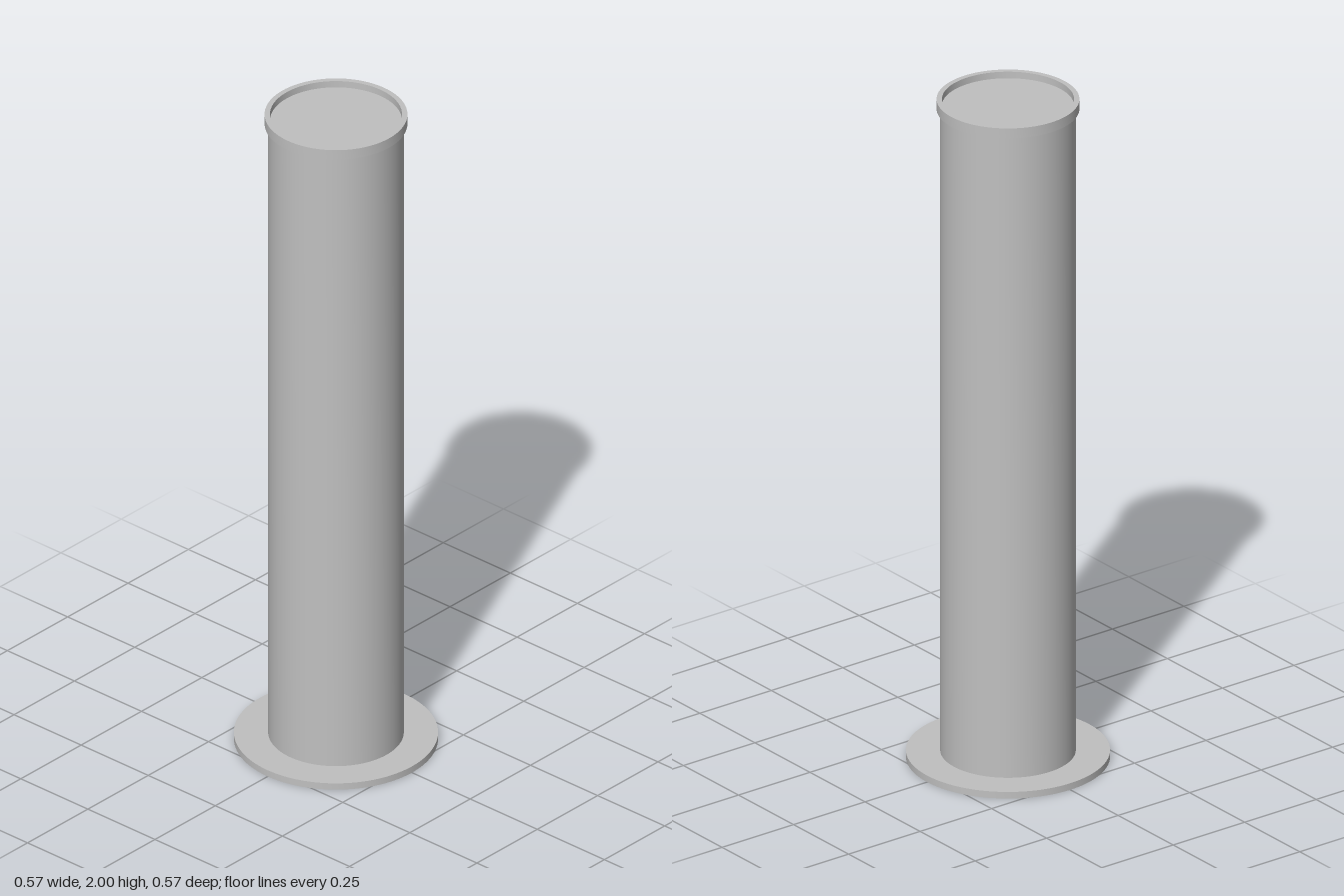
import * as THREE from 'three';
import { toCreasedNormals } from 'three/addons/utils/BufferGeometryUtils.js';

const SEGMENTS = 96;

export function createModel() {
  const group = new THREE.Group();
  group.name = 'flangedTube';
  const grey = new THREE.MeshStandardMaterial({ color: 0xc0c0c0 });
  grey.name = 'grey metal';

  // Ring of rectangular section, with sharp rims and smooth walls
  function addRing(name, inner, outer, bottom, top) {
    const profile = [
      [inner, bottom], [outer, bottom], [outer, top], [inner, top], [inner, bottom],
    ].map(([r, y]) => new THREE.Vector2(r, y));
    const geometry = toCreasedNormals(new THREE.LatheGeometry(profile, SEGMENTS), Math.PI / 6);
    const mesh = new THREE.Mesh(geometry, grey);
    mesh.name = name;
    group.add(mesh);
  }

  // Base flange, hollow column and rim collar
  addRing('baseFlange', 0.183, 0.283, 0, 0.02);
  addRing('column', 0.183, 0.188, 0.02, 1.97);
  addRing('rimCollar', 0.183, 0.198, 1.97, 2);

  // Lid plate sunk just below the rim
  const lid = new THREE.Mesh(new THREE.CylinderGeometry(0.183, 0.183, 0.01, SEGMENTS), grey);
  lid.name = 'recessedLid';
  lid.position.y = 1.975;
  group.add(lid);

  return group;
}
